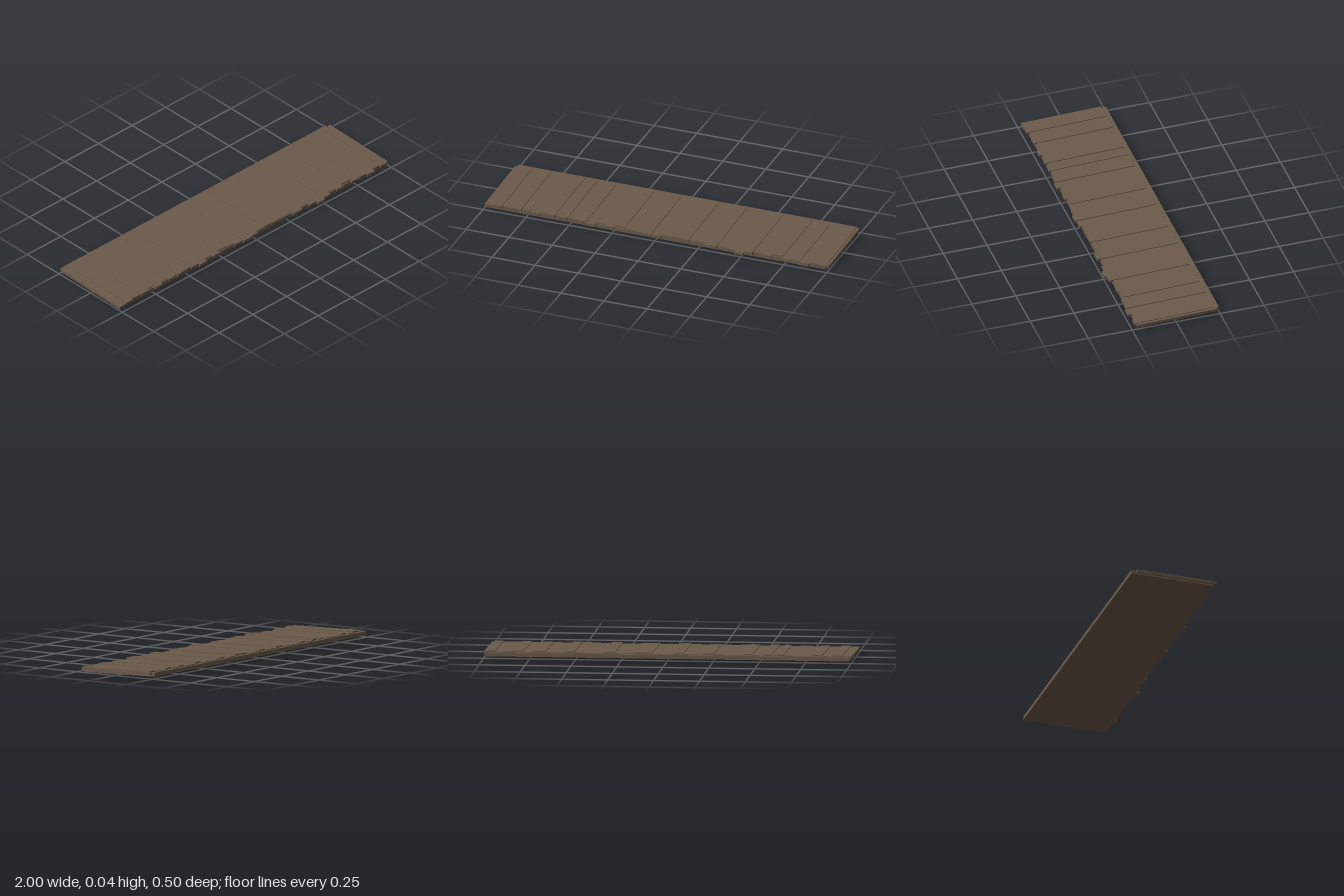
import * as THREE from 'three';

// Each plank: left edge x, front edge z, raised (1) or low (0).
// The right edge is the left edge of the next plank.
const PLANKS = [
  [-1.0, 0.23, 0], [-0.95, 0.23, 1], [-0.9, 0.218, 0], [-0.84, 0.225, 1],
  [-0.79, 0.208, 0], [-0.73, 0.229, 0], [-0.68, 0.212, 0], [-0.63, 0.226, 1],
  [-0.595, 0.215, 0], [-0.565, 0.226, 1], [-0.52, 0.213, 0], [-0.46, 0.227, 1],
  [-0.41, 0.235, 0], [-0.355, 0.21, 0], [-0.3, 0.226, 0], [-0.25, 0.21, 1],
  [-0.19, 0.213, 0], [-0.14, 0.226, 0], [-0.085, 0.238, 1], [-0.03, 0.229, 0],
  [0.025, 0.211, 0], [0.085, 0.215, 1], [0.14, 0.221, 1], [0.185, 0.211, 0],
  [0.29, 0.236, 1], [0.35, 0.212, 0], [0.41, 0.231, 0], [0.46, 0.248, 0],
  [0.51, 0.236, 1], [0.56, 0.21, 0], [0.62, 0.225, 0], [0.665, 0.21, 1],
  [0.73, 0.226, 0], [0.785, 0.229, 1], [0.835, 0.237, 0], [0.89, 0.216, 0],
  [0.94, 0.229, 1], [0.985, 0.22, 0],
];
const THICKNESS = 0.016;

export function createModel() {
  const model = new THREE.Group();
  model.name = 'plankRoof';
  const wood = new THREE.MeshStandardMaterial({ color: 0x6b5a4a });
  wood.name = 'weathered wood';

  // Box given by its lower and upper limits on each axis
  const addBox = (parent, name, x0, x1, y0, y1, z0, z1) => {
    const mesh = new THREE.Mesh(new THREE.BoxGeometry(x1 - x0, y1 - y0, z1 - z0), wood);
    mesh.name = name;
    mesh.position.set((x0 + x1) / 2, (y0 + y1) / 2, (z0 + z1) / 2);
    parent.add(mesh);
  };

  // The whole panel slopes gently down toward the front
  const panel = new THREE.Group();
  panel.name = 'slopedPanel';
  panel.rotation.x = 0.0235;
  model.add(panel);

  // Base board under the planks
  addBox(panel, 'baseBoard', -0.99, 0.98, 0.0055, 0.0272, -0.25, 0.217);

  // Row of planks with uneven front ends and two heights
  const planks = new THREE.Group();
  planks.name = 'planks';
  panel.add(planks);
  PLANKS.forEach(([x0, front, raised], i) => {
    const x1 = i + 1 < PLANKS.length ? PLANKS[i + 1][0] : 1;
    const top = raised ? 0.0347 : 0.0307;
    const back = raised || i === 0 ? -0.224 : -0.235;
    addBox(planks, 'plank', x0, x1, top - THICKNESS, top, back, front);
  });

  return model;
}
